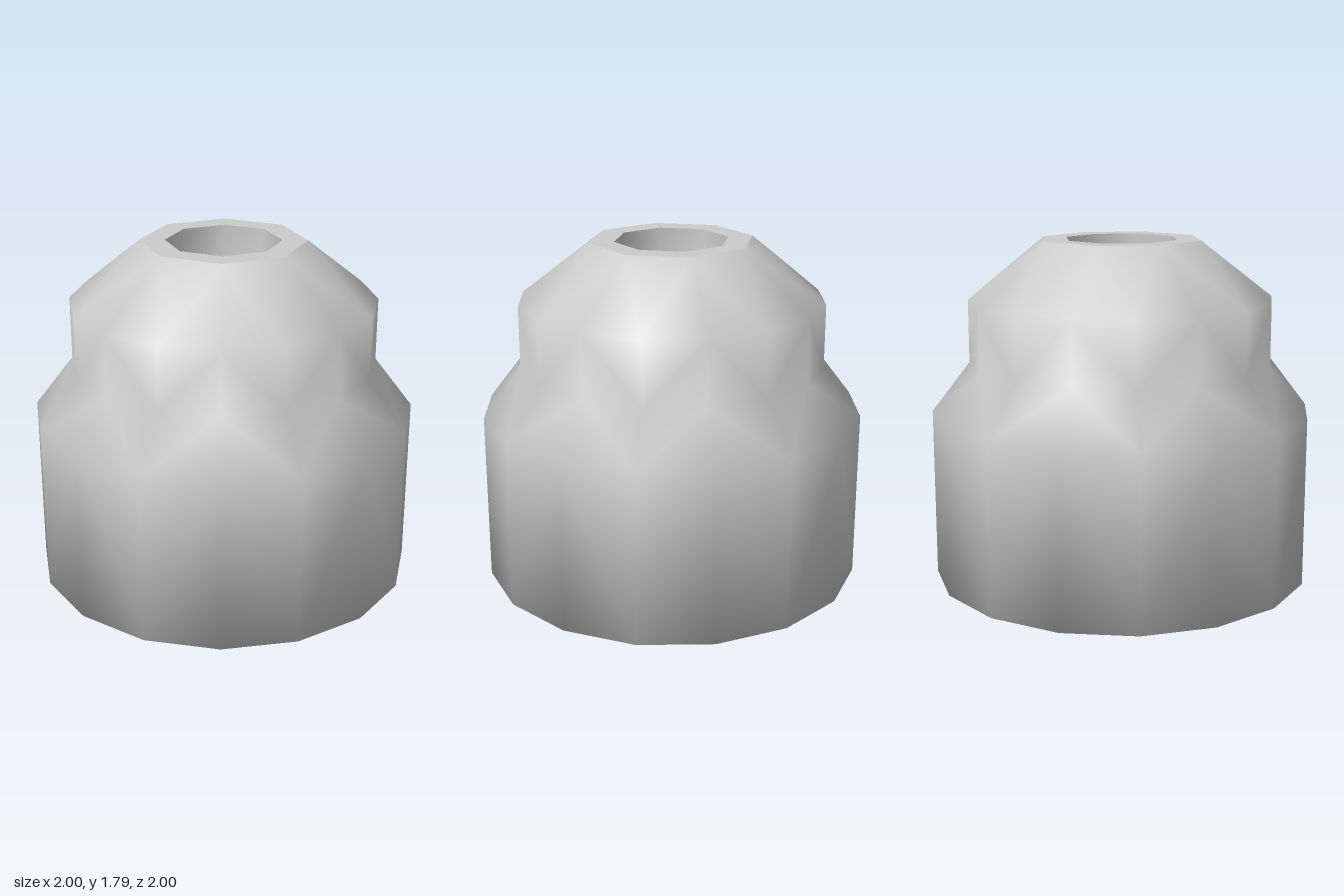
import * as THREE from 'three';

const material = new THREE.MeshStandardMaterial({ color: 0xcccccc });
const TOP = 1.79, TOP_R = 0.43, HOLE_R = 0.3, HOLE_FLOOR = 0.89;

// Adds a ring of vertices and returns the index of its first vertex
function addRing(positions, radius, y, sides) {
  const start = positions.length / 3;
  for (let i = 0; i < sides; i++) {
    const a = (i / sides) * Math.PI * 2;
    positions.push(radius * Math.sin(a), y, radius * Math.cos(a));
  }
  return start;
}

function makeMesh(name, positions, indices) {
  const geometry = new THREE.BufferGeometry();
  geometry.setAttribute('position', new THREE.Float32BufferAttribute(positions, 3));
  geometry.setIndex(indices);
  geometry.computeVertexNormals();
  const mesh = new THREE.Mesh(geometry, material);
  mesh.name = name;
  return mesh;
}

// Stepped, smooth-shaded 16-sided body narrowing to an 8-sided neck
function makeBody() {
  const p = [], idx = [], n = 16;
  const profile = [[1, 0], [1, 0.89], [0.8, 1.15], [0.8, 1.48]];
  const rings = profile.map(([r, y]) => addRing(p, r, y, n));
  const neck = addRing(p, TOP_R, TOP, 8);
  const centre = addRing(p, 0, 0, 1);

  // Walls, with diagonals alternating from side to side
  for (let k = 0; k < rings.length - 1; k++) {
    for (let i = 0; i < n; i++) {
      const j = (i + 1) % n;
      const a = rings[k] + i, b = rings[k] + j;
      const c = rings[k + 1] + i, d = rings[k + 1] + j;
      if (i % 2 === 0) idx.push(a, b, c, b, d, c);
      else idx.push(a, b, d, a, d, c);
    }
  }
  // Sloping shoulder, two lower sides to each upper side
  const last = rings[rings.length - 1];
  for (let k = 0; k < 8; k++) {
    const a = last + 2 * k, b = a + 1, c = last + ((2 * k + 2) % n);
    const u = neck + k, v = neck + ((k + 1) % 8);
    idx.push(a, b, u, b, v, u, b, c, v);
  }
  // Flat underside
  for (let i = 0; i < n; i++) idx.push(centre, rings[0] + ((i + 1) % n), rings[0] + i);
  return makeMesh('body', p, idx);
}

// Blind octagonal hole, its walls and floor facing inward
function makeHole() {
  const p = [], idx = [], n = 8;
  const floor = addRing(p, HOLE_R, HOLE_FLOOR, n);
  const lip = addRing(p, HOLE_R, TOP, n);
  const centre = addRing(p, 0, HOLE_FLOOR, 1);
  for (let i = 0; i < n; i++) {
    const j = (i + 1) % n;
    idx.push(floor + i, lip + i, floor + j, floor + j, lip + i, lip + j);
    idx.push(centre, floor + i, floor + j);
  }
  return makeMesh('hole', p, idx);
}

export function createModel() {
  const model = new THREE.Group();
  model.name = 'steppedCap';
  // Flat ring around the hole
  const rim = new THREE.Mesh(
    new THREE.RingGeometry(HOLE_R, TOP_R, 8).rotateX(-Math.PI / 2), material);
  rim.position.y = TOP;
  rim.name = 'topRim';
  model.add(makeBody(), rim, makeHole());
  return model;
}
